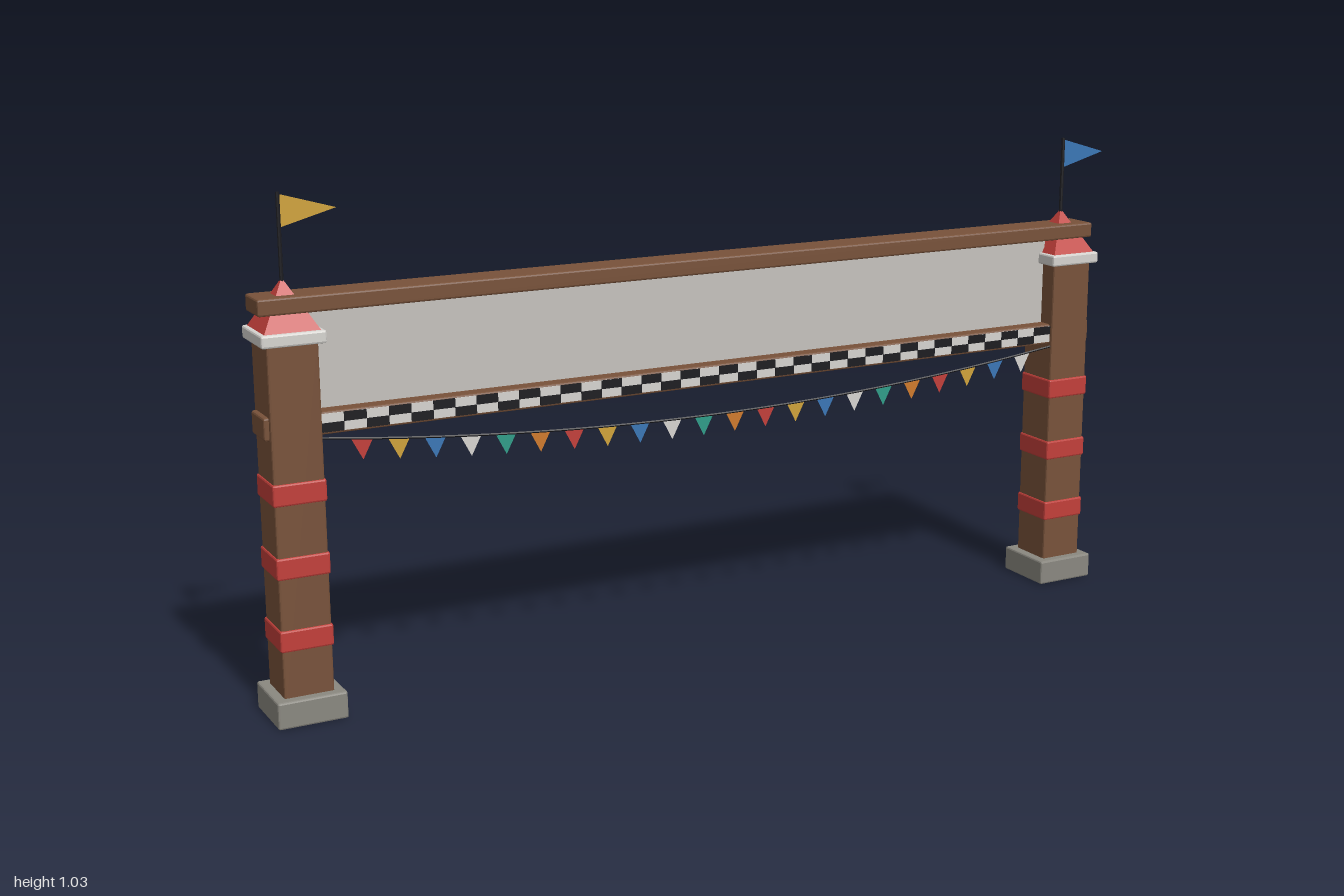
import * as THREE from 'three';
import { mergeGeometries } from 'three/addons/utils/BufferGeometryUtils.js';
import { RoundedBoxGeometry } from 'three/addons/geometries/RoundedBoxGeometry.js';

const makeMaterial = (name, color) => {
  const m = new THREE.MeshStandardMaterial({ color, flatShading: true, side: THREE.DoubleSide });
  m.name = name;
  return m;
};

export function createModel() {
  const mats = {
    wood: makeMaterial('wood', 0x78523a),
    red: makeMaterial('red', 0xc23f3a),
    stone: makeMaterial('stone', 0x8a8880),
    white: makeMaterial('white', 0xd6d4d0),
    panel: makeMaterial('panel', 0xc6c2bd),
    black: makeMaterial('black', 0x1c1c20),
    yellow: makeMaterial('yellow', 0xcfa23a),
    blue: makeMaterial('blue', 0x3a76b5),
    teal: makeMaterial('teal', 0x2f9c88),
    orange: makeMaterial('orange', 0xcf7a2c),
  };
  const group = new THREE.Group();
  group.name = 'gateway';

  const add = (parent, name, geometry, material, x = 0, y = 0, z = 0) => {
    const mesh = new THREE.Mesh(geometry, mats[material]);
    mesh.name = name;
    mesh.position.set(x, y, z);
    parent.add(mesh);
    return mesh;
  };
  // Bevelled block spanning y0 to y1
  const block = (parent, name, material, w, y0, y1, d, x = 0) =>
    add(parent, name, new RoundedBoxGeometry(w, y1 - y0, d, 1, 0.004), material, x, (y0 + y1) / 2);
  const triangle = (...pts) =>
    new THREE.ShapeGeometry(new THREE.Shape(pts.map(([x, y]) => new THREE.Vector2(x, y))));

  const mid = -0.0225, reach = 0.9075; // gate centre and post offset

  // Posts with bands, caps, pyramid roofs and pennants
  const makePost = (name, x, flagColour) => {
    const post = new THREE.Group();
    post.name = name;
    post.position.x = x;
    block(post, 'base', 'stone', 0.14, 0, 0.055, 0.14);
    block(post, 'shaft', 'wood', 0.1, 0.05, 0.75, 0.1);
    for (const y of [0.17, 0.315, 0.46]) block(post, 'band', 'red', 0.106, y - 0.022, y + 0.022, 0.106);
    block(post, 'cap', 'white', 0.126, 0.746, 0.771, 0.126);
    const roof = new THREE.ConeGeometry(0.055 * Math.SQRT2, 0.096, 4).rotateY(Math.PI / 4);
    add(post, 'roof', roof, 'red', 0, 0.818);
    add(post, 'flagPole', new THREE.CylinderGeometry(0.004, 0.004, 0.19, 8), 'black', 0, 0.931);
    add(post, 'pennant', triangle([0.003, 0.96], [0.112, 0.99], [0.003, 1.022]), flagColour);
    group.add(post);
  };
  makePost('rightPost', mid - reach, 'yellow');
  makePost('leftPost', mid + reach, 'blue');

  // Cross beams and the panel between them
  block(group, 'topBeam', 'wood', 1.935, 0.802, 0.835, 0.08, mid);
  block(group, 'lowerBeam', 'wood', 1.935, 0.565, 0.61, 0.08, mid);
  const panel = new THREE.BoxGeometry(1.72, 0.198, 0.016);
  add(group, 'bannerPanel', panel, 'panel', mid, 0.706);

  // Checkered strip on both faces of the lower beam
  const span = 1.715, count = 38, cell = span / count, rowHeight = 0.018;
  add(group, 'checkerStrip', new THREE.BoxGeometry(span, rowHeight * 2, 0.083), 'white', mid, 0.588);
  const checks = [];
  for (let i = 0; i < count; i++) {
    const box = new THREE.BoxGeometry(cell, rowHeight, 0.086);
    checks.push(box.translate((i + 0.5) * cell - span / 2, (i % 2 - 0.5) * rowHeight, 0));
  }
  add(group, 'darkChecks', mergeGeometries(checks), 'black', mid, 0.588);

  // Sagging string with coloured bunting
  const bunting = new THREE.Group();
  bunting.name = 'bunting';
  bunting.position.set(mid, 0, 0.044);
  const sagY = (x) => 0.505 + 0.055 * (x / 0.86) ** 2;
  const path = [];
  for (let i = 0; i <= 12; i++) {
    const x = -0.86 + (1.72 * i) / 12;
    path.push(new THREE.Vector3(x, sagY(x), 0));
  }
  const string = new THREE.TubeGeometry(new THREE.CatmullRomCurve3(path), 48, 0.0025, 5);
  add(bunting, 'string', string, 'black');
  const colours = ['red', 'yellow', 'blue', 'white', 'teal', 'orange'];
  const flag = triangle([-0.022, 0], [0, -0.042], [0.022, 0]);
  for (let i = 0; i < 22; i++) {
    const x = (i - 10.5) * 0.0741;
    add(bunting, 'buntingFlag', flag, colours[i % 6], x, sagY(x));
  }
  group.add(bunting);

  return group;
}
